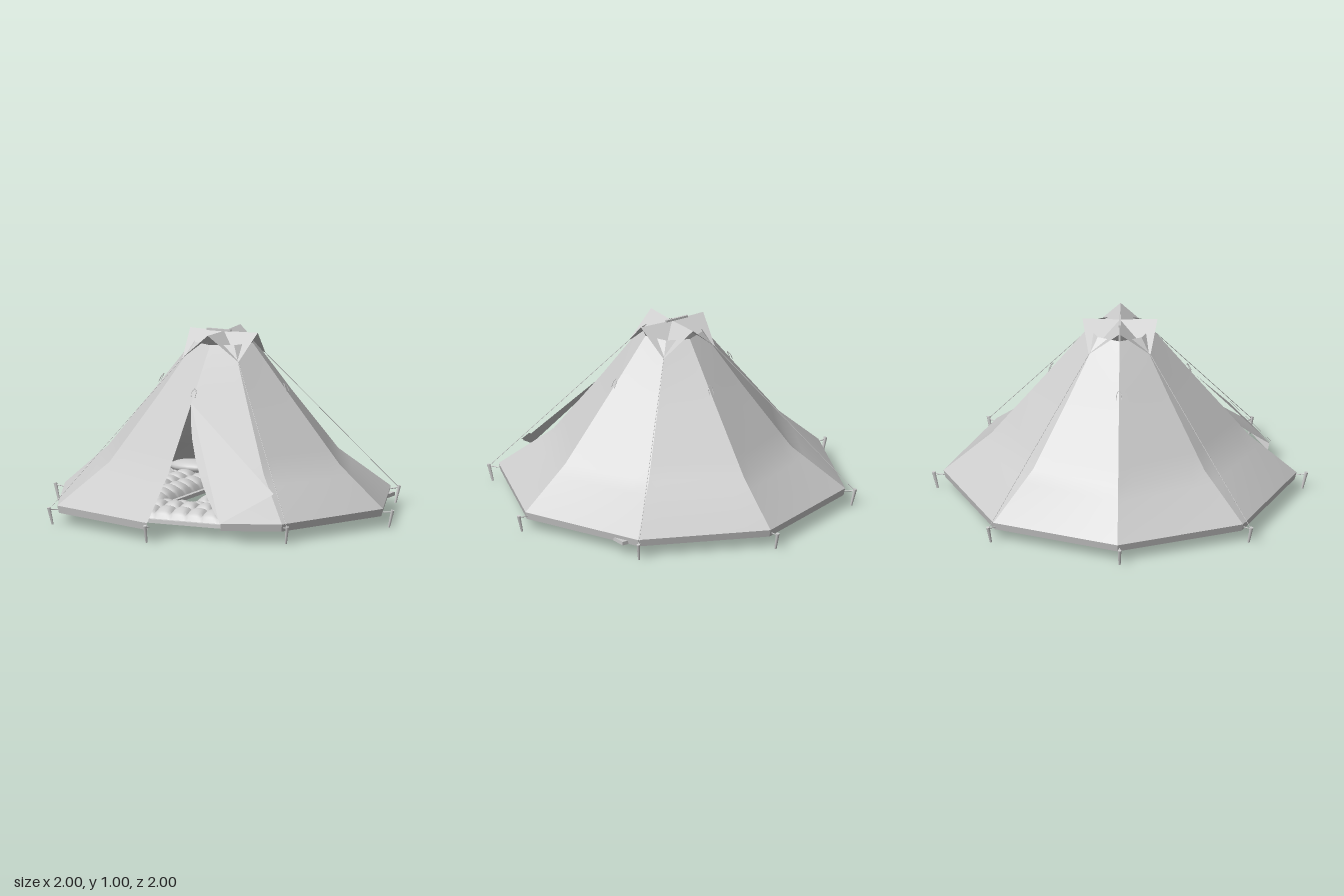
import * as THREE from 'three';
import { toCreasedNormals } from 'three/addons/utils/BufferGeometryUtils.js';

const grey = new THREE.MeshStandardMaterial({ color: 0xcccccc, side: THREE.DoubleSide });
const V = (x, y, z) => new THREE.Vector3(x, y, z);

// ridge profiles as [radius, height], from collar to hem
const axisRidge = [[0.17, 0.94], [0.4, 0.66], [0.685, 0.32], [0.94, 0.1], [0.93, 0.06]];
const cornerRidge = [[0.165, 0.94], [0.375, 0.66], [0.645, 0.32], [0.94, 0.1], [0.93, 0.06]];

function add(parent, geo, name) {
  const mesh = new THREE.Mesh(geo, grey);
  mesh.name = name;
  parent.add(mesh);
  return mesh;
}

// surface through a grid of points f(u, v)
function grid(f, nu, nv, crease = 0.5) {
  const pos = [], idx = [];
  for (let j = 0; j <= nv; j++) for (let i = 0; i <= nu; i++) pos.push(...f(i / nu, j / nv).toArray());
  for (let j = 0; j < nv; j++) for (let i = 0; i < nu; i++) {
    const a = j * (nu + 1) + i, b = a + nu + 1;
    idx.push(a, b, a + 1, a + 1, b, b + 1);
  }
  const geo = new THREE.BufferGeometry();
  geo.setAttribute('position', new THREE.Float32BufferAttribute(pos, 3));
  geo.setIndex(idx);
  return toCreasedNormals(geo, crease);
}

function triangles(points) {
  const geo = new THREE.BufferGeometry().setFromPoints(points);
  geo.computeVertexNormals();
  return geo;
}

function rod(parent, a, b, r, name, r2 = r) {
  const mesh = add(parent, new THREE.CylinderGeometry(r2, r, a.distanceTo(b), 8), name);
  mesh.position.copy(a).lerp(b, 0.5);
  mesh.quaternion.setFromUnitVectors(V(0, 1, 0), b.clone().sub(a).normalize());
  return mesh;
}

// point on ridge i (0 faces front, going round towards +x); s runs over profile segments
function ridgePoint(i, s) {
  const p = i % 2 ? cornerRidge : axisRidge;
  const k = Math.min(Math.floor(s), p.length - 2), t = s - k;
  const r = THREE.MathUtils.lerp(p[k][0], p[k + 1][0], t);
  const y = THREE.MathUtils.lerp(p[k][1], p[k + 1][1], t);
  const a = i * Math.PI / 4;
  return V(Math.sin(a) * r, y, Math.cos(a) * r);
}

function panel(i) {
  return grid((u, v) => {
    const s = v * 4;
    const a = ridgePoint(i, s), b = ridgePoint(i + 1, s);
    // the doorway cuts away part of the panel below its peak
    const cut = i === 0 ? 0.545 * THREE.MathUtils.clamp((0.66 - a.y) / 0.56, 0, 1) : 0;
    return a.lerp(b, cut + (1 - cut) * u);
  }, 6, 16);
}

// quilted sleeping bag on a mat, long side along local z
function bed(parent, x, z, w, l, turn) {
  const g = new THREE.Group();
  g.name = 'bed';
  g.position.set(x, 0, z);
  g.rotation.y = turn;
  parent.add(g);
  add(g, new THREE.BoxGeometry(w, 0.02, l), 'mat').position.y = 0.07;
  add(g, grid((u, v) => {
    const edge = Math.pow(Math.sin(Math.PI * u) * Math.min(1, Math.sin(Math.PI * v) * 3), 0.4);
    const puff = Math.sqrt(Math.abs(Math.sin(Math.PI * 8 * v) * Math.sin(Math.PI * 3 * u)));
    return V((u - 0.5) * w * 0.88, 0.08 + edge * (0.045 + 0.03 * puff), (v - 0.45) * l * 0.86);
  }, 24, 64, 1.2), 'sleepingBag');
  const pillow = add(g, new THREE.SphereGeometry(1, 20, 12), 'pillow');
  pillow.scale.set(w * 0.36, 0.04, 0.08);
  pillow.position.set(0, 0.15, -l * 0.36);
  // carrying straps at the head end
  for (const side of [-1, 1]) {
    const strap = add(g, new THREE.TorusGeometry(0.05, 0.006, 6, 16, Math.PI), 'strap');
    strap.rotation.x = -Math.PI / 2;
    strap.position.set(side * w * 0.25, 0.08, -l / 2);
  }
}

export function createModel() {
  const tent = new THREE.Group();
  tent.name = 'tent';

  // canvas walls
  const walls = new THREE.Group();
  walls.name = 'walls';
  tent.add(walls);
  for (let i = 0; i < 8; i++) add(walls, panel(i), 'wallPanel');

  // door flap folded back, with its hem
  const peak = V(0, 0.665, 0.405), foot = V(0.36, 0.1, 0.8), tip = V(0.57, 0.24, 0.575);
  add(tent, triangles([peak, foot, tip]), 'doorFlap');
  const lift = V(0.004, 0.006, 0.006);
  const h = [foot, tip, tip.clone().lerp(peak, 0.07), foot.clone().lerp(peak, 0.07)].map(p => p.clone().add(lift));
  add(tent, triangles([h[0], h[1], h[2], h[0], h[2], h[3]]), 'flapHem');

  // peaked cap: axis corners raised, diagonal corners pulled down
  const rim = [];
  for (let i = 0; i < 8; i++) {
    const a = i * Math.PI / 4, r = i % 2 ? 0.233 : 0.2;
    rim.push(V(Math.sin(a) * r, i % 2 ? 0.86 : 0.995, Math.cos(a) * r));
  }
  const capPoints = [];
  rim.forEach((p, i) => capPoints.push(V(0, 0.99, 0), p, rim[(i + 1) % 8]));
  add(tent, triangles(capPoints), 'cap');
  add(tent, new THREE.BoxGeometry(0.14, 0.012, 0.012), 'capBar').position.set(-0.03, 0.994, 0);
  rod(tent, V(0, 0.08, 0), V(0, 0.985, 0), 0.007, 'centrePole');

  // stakes, guy ropes and vent loops
  for (let i = 0; i < 8; i++) {
    const a = i * Math.PI / 4 + 0.012;
    const out = (r, y) => V(Math.sin(a) * r, y, Math.cos(a) * r);
    const stake = new THREE.Group();
    stake.name = 'stake';
    tent.add(stake);
    rod(stake, out(0.97, 0.002), out(0.992, 0.095), 0.006, 'stakeShaft', 0.01);
    rod(stake, out(0.935, 0.08), out(0.985, 0.085), 0.003, 'stakeLoop');
    if (i % 2) rod(tent, rim[i], out(0.985, 0.09), 0.0015, 'guyRope');
    else {
      const loop = new THREE.CatmullRomCurve3([V(-0.012, 0.69, 0.38), V(-0.012, 0.72, 0.365),
        V(0, 0.735, 0.355), V(0.012, 0.72, 0.365), V(0.012, 0.69, 0.38)]);
      add(tent, new THREE.TubeGeometry(loop, 16, 0.002, 5), 'ventLoop').rotation.y = i * Math.PI / 4;
    }
  }

  // beds on the floor
  bed(tent, -0.03, 0.52, 0.4, 0.86, Math.PI / 2);
  bed(tent, 0.53, -0.08, 0.38, 1.04, 0);
  bed(tent, 0.06, -0.23, 0.28, 1.04, 0);
  bed(tent, -0.41, -0.16, 0.38, 0.88, 0);

  return tent;
}
